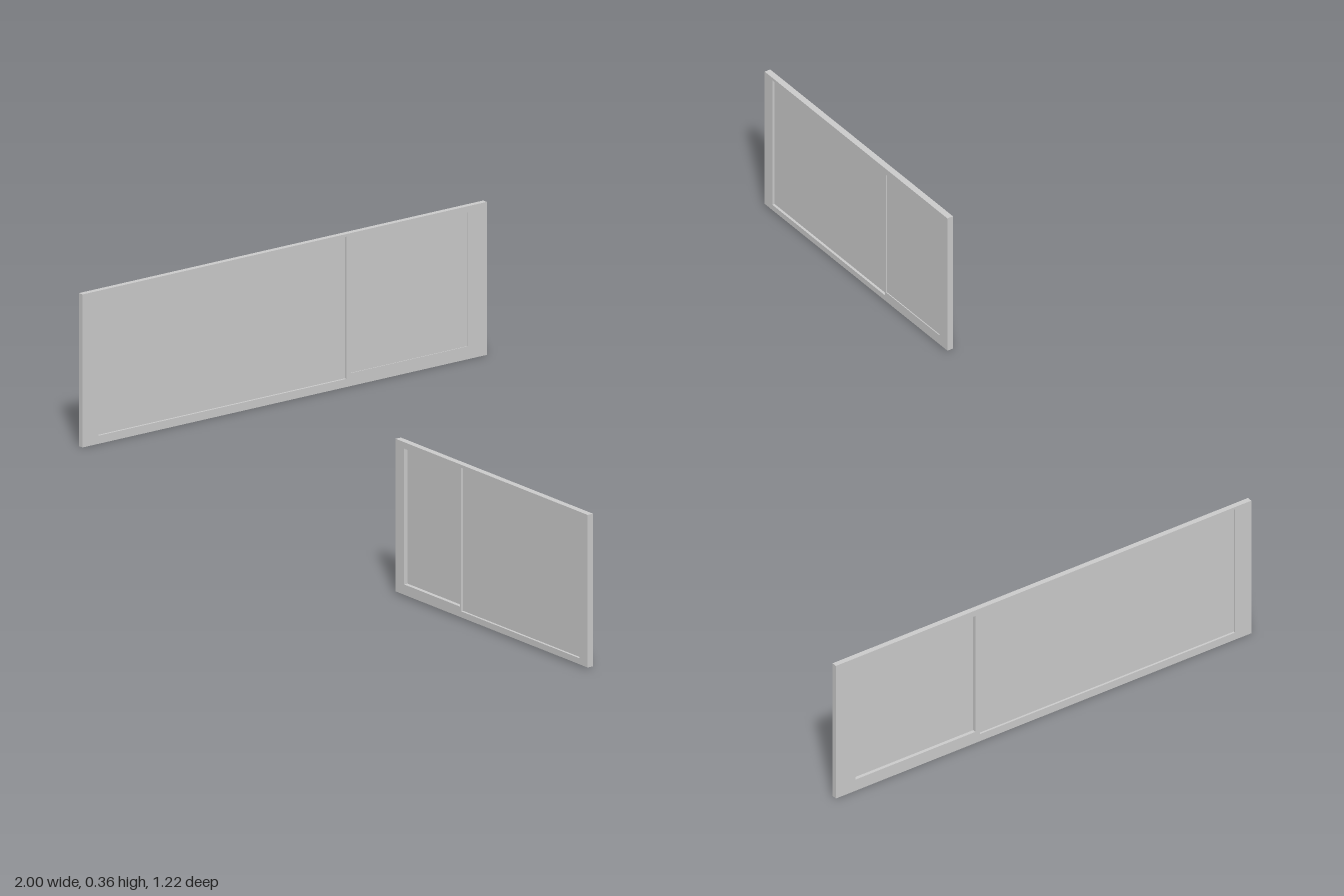
import * as THREE from 'three';

const material = new THREE.MeshStandardMaterial({ color: 0xcccccc, side: THREE.DoubleSide });

function rectangle(path, [x0, x1, y0, y1]) {
  path.moveTo(x0, y0);
  path.lineTo(x1, y0);
  path.lineTo(x1, y1);
  path.lineTo(x0, y1);
  path.closePath();
  return path;
}

// A framed window facing local +z, with a narrow sash light and a wide fixed light.
function createWindow(name, width, height, depth, narrow, wide) {
  const group = new THREE.Group();
  group.name = name;

  // Frame with two openings
  const outline = rectangle(new THREE.Shape(), [-width / 2, width / 2, 0, height]);
  for (const opening of [narrow, wide]) outline.holes.push(rectangle(new THREE.Path(), opening));
  const frameGeometry = new THREE.ExtrudeGeometry(outline, { depth, bevelEnabled: false });
  frameGeometry.translate(0, 0, -depth / 2);
  const frame = new THREE.Mesh(frameGeometry, material);
  frame.name = 'frame';
  group.add(frame);

  // Panes: the narrow one sits nearer the inside
  const panes = [['narrowPane', narrow, -depth * 0.25], ['widePane', wide, 0]];
  for (const [paneName, [x0, x1, y0, y1], z] of panes) {
    const pane = new THREE.Mesh(new THREE.BoxGeometry(x1 - x0, y1 - y0, depth * 0.2), material);
    pane.position.set((x0 + x1) / 2, (y0 + y1) / 2, z);
    pane.name = paneName;
    group.add(pane);
  }
  return group;
}

export function createModel() {
  const model = new THREE.Group();
  model.name = 'windows';

  // Short window at the front
  const front = createWindow('frontWindow', 0.705, 0.354, 0.015,
    [-0.321, -0.116, 0.024, 0.339], [-0.112, 0.323, 0.014, 0.347]);
  front.position.set(0.6475, 0.005, 0.604);

  // Long window along the side, very slightly skewed
  const side = createWindow('sideWindow', 1.126, 0.355, 0.013,
    [-0.51, -0.185, 0.03, 0.34], [-0.172, 0.519, 0.019, 0.349]);
  side.position.set(-0.991, 0, -0.049);
  side.rotation.y = -Math.PI / 2 + 0.0045;

  model.add(front, side);
  return model;
}
